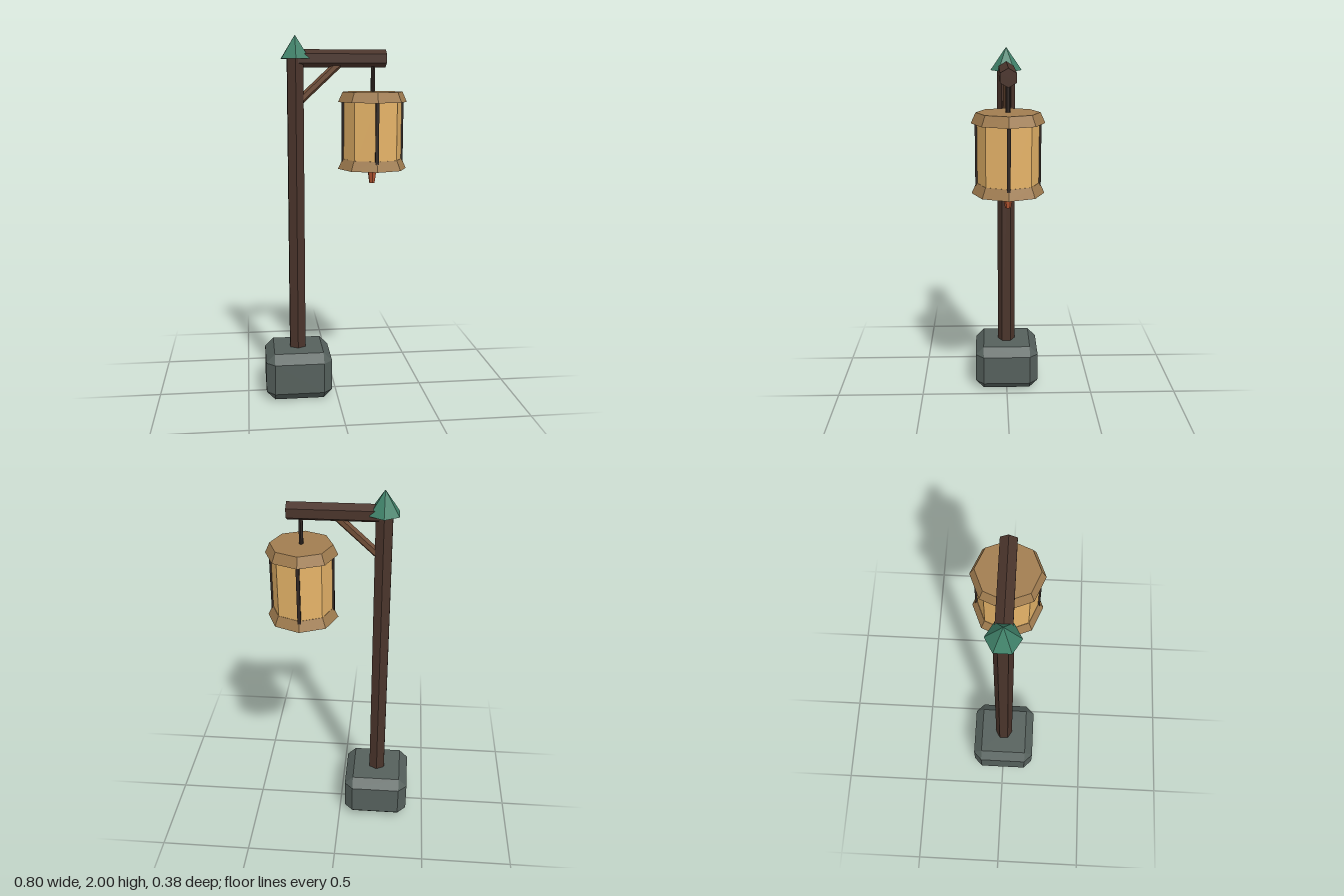
import * as THREE from 'three';
import { ConvexGeometry } from 'three/addons/geometries/ConvexGeometry.js';

const POST_X = -0.215, LAMP_X = 0.207;

const mat = (color) => new THREE.MeshStandardMaterial({ color, flatShading: true });

export function createModel() {
  const model = new THREE.Group();
  const stone = mat(0x55605c), wood = mat(0x4a342b), braceWood = mat(0x6e4c36);
  const roof = mat(0x3f8068), rim = mat(0xa17d50), paper = mat(0xe5b368);
  const iron = mat(0x2e2521), clay = mat(0xb0532f);

  const add = (parent, name, geometry, material, x, y, z = 0) => {
    const mesh = new THREE.Mesh(geometry, material);
    mesh.name = name;
    mesh.position.set(x, y, z);
    parent.add(mesh);
    return mesh;
  };

  // Upright prism or frustum spanning y0 to y1
  const prism = (parent, name, material, x, y0, y1, rTop, rBottom, sides) =>
    add(parent, name, new THREE.CylinderGeometry(rTop, rBottom, y1 - y0, sides), material, x, (y0 + y1) / 2);

  // Hexagonal beam between two points in the z = 0 plane
  const beam = (name, material, radius, x0, y0, x1, y1) => {
    const dx = x1 - x0, dy = y1 - y0;
    const geometry = new THREE.CylinderGeometry(radius, radius, Math.hypot(dx, dy), 6);
    geometry.rotateY(Math.PI / 2); // an edge faces up
    const mesh = add(model, name, geometry, material, (x0 + x1) / 2, (y0 + y1) / 2);
    mesh.rotation.z = Math.atan2(dy, dx) - Math.PI / 2;
  };

  // Stone foot with every edge chamfered
  const hx = 0.184, hy = 0.1325, hz = 0.185, b = 0.048;
  const corners = [];
  for (const sx of [-1, 1]) for (const sy of [-1, 1]) for (const sz of [-1, 1]) {
    corners.push(
      new THREE.Vector3(sx * hx, sy * (hy - b), sz * (hz - b)),
      new THREE.Vector3(sx * (hx - b), sy * hy, sz * (hz - b)),
      new THREE.Vector3(sx * (hx - b), sy * (hy - b), sz * hz));
  }
  add(model, 'stoneBase', new ConvexGeometry(corners), stone, POST_X, hy);

  // Post, pointed cap, arm and diagonal brace
  prism(model, 'post', wood, POST_X, 0.2, 1.89, 0.05, 0.05, 6);
  add(model, 'postCap', new THREE.ConeGeometry(0.087, 0.125, 6), roof, POST_X, 1.9375);
  beam('arm', wood, 0.048, POST_X, 1.877, 0.276, 1.877);
  beam('brace', braceWood, 0.023, -0.2, 1.645, 0.02, 1.85);

  // Hanging lantern
  const lantern = new THREE.Group();
  lantern.name = 'lantern';
  lantern.position.x = LAMP_X;
  model.add(lantern);
  prism(lantern, 'hanger', iron, 0, 1.68, 1.85, 0.012, 0.012, 6);
  prism(lantern, 'topRim', rim, 0, 1.645, 1.7, 0.165, 0.19, 8);
  prism(lantern, 'paperBody', paper, 0, 1.31, 1.66, 0.163, 0.163, 8);
  prism(lantern, 'bottomRim', rim, 0, 1.28, 1.335, 0.165, 0.19, 8);
  prism(lantern, 'tassel', clay, 0, 1.2, 1.285, 0.028, 0.016, 6);

  // Four dark ribs on the body
  for (let i = 0; i < 4; i++) {
    const a = i * Math.PI / 2;
    add(lantern, 'rib', new THREE.BoxGeometry(0.018, 0.34, 0.018), iron,
      0.161 * Math.sin(a), 1.49, 0.161 * Math.cos(a)).rotation.y = a;
  }
  return model;
}
